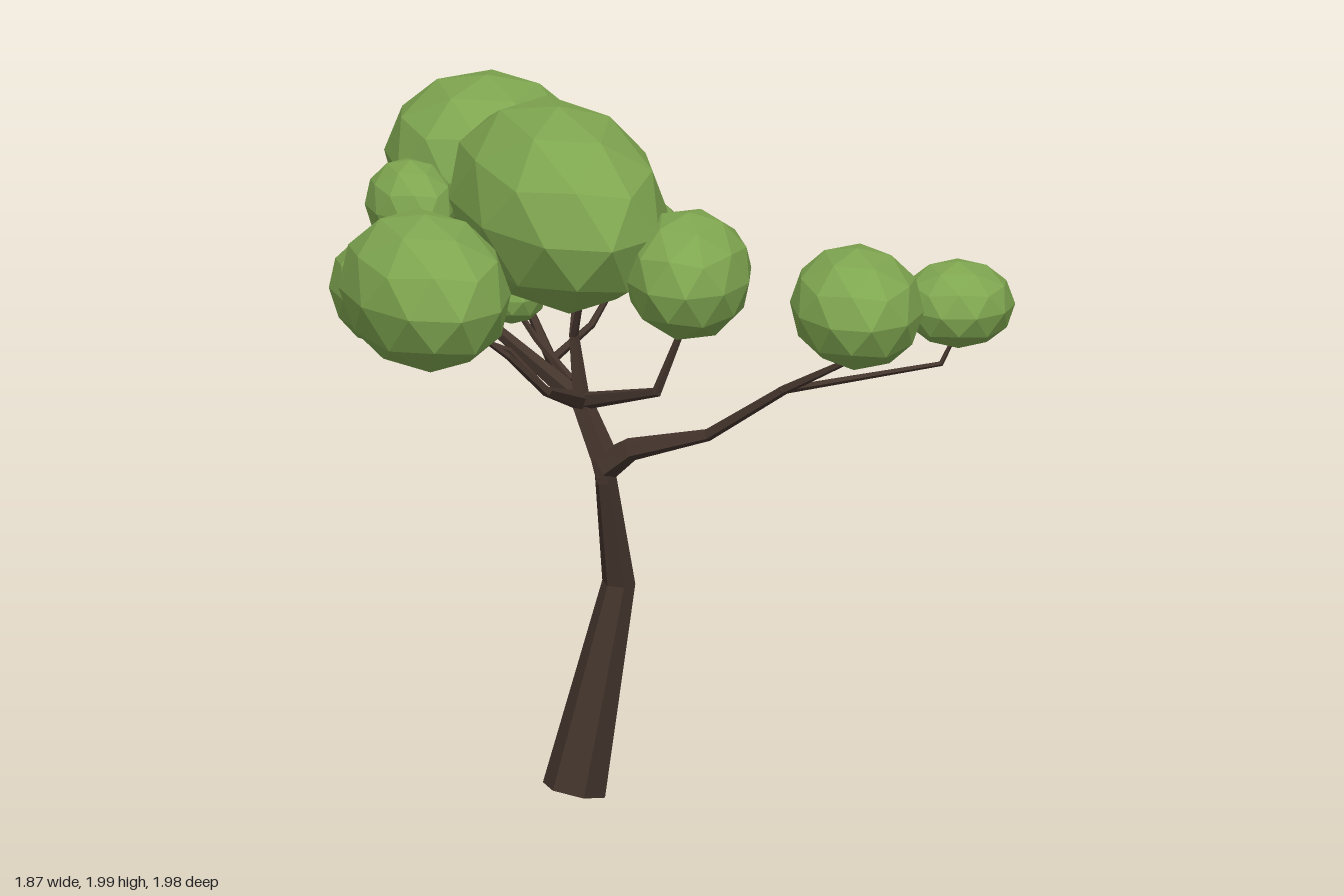
import * as THREE from 'three';

const bark = new THREE.MeshStandardMaterial({ color: 0x43342c, flatShading: true });
bark.name = 'dark bark';
const leaf = new THREE.MeshStandardMaterial({ color: 0x7fa650, flatShading: true });
leaf.name = 'leaf green';

// Tapered faceted limb through points [x, y, z, radius]
function limb(name, points, sides = 5) {
  const centres = points.map(p => new THREE.Vector3(p[0], p[1], p[2]));
  const n = points.length;
  const pos = [];
  const index = [];
  const ref = new THREE.Vector3(0, 0, 1);
  const first = centres[1].clone().sub(centres[0]).normalize();
  if (Math.abs(first.z) > 0.75) ref.set(1, 0, 0);
  let u = ref;
  centres.forEach((c, i) => {
    const t = new THREE.Vector3();
    if (i > 0) t.add(centres[i].clone().sub(centres[i - 1]).normalize());
    if (i < n - 1) t.add(centres[i + 1].clone().sub(centres[i]).normalize());
    t.normalize();
    u = u.clone().addScaledVector(t, -u.dot(t)).normalize();
    const v = t.clone().cross(u);
    for (let k = 0; k < sides; k++) {
      const a = (k / sides) * Math.PI * 2;
      const p = c.clone()
        .addScaledVector(u, Math.cos(a) * points[i][3])
        .addScaledVector(v, Math.sin(a) * points[i][3]);
      pos.push(p.x, p.y, p.z);
    }
  });
  for (let i = 0; i < n - 1; i++) {
    for (let k = 0; k < sides; k++) {
      const a = i * sides + k;
      const b = i * sides + (k + 1) % sides;
      index.push(a, b, b + sides, a, b + sides, a + sides);
    }
  }
  // End caps
  const last = (n - 1) * sides;
  for (let k = 1; k < sides - 1; k++) {
    index.push(0, k + 1, k, last, last + k, last + k + 1);
  }
  const indexed = new THREE.BufferGeometry();
  indexed.setAttribute('position', new THREE.Float32BufferAttribute(pos, 3));
  indexed.setIndex(index);
  const geometry = indexed.toNonIndexed();
  geometry.computeVertexNormals();
  const mesh = new THREE.Mesh(geometry, bark);
  mesh.name = name;
  return mesh;
}

// Faceted ellipsoid of leaves
function foliage(name, centre, radii, turn = 0) {
  const geometry = new THREE.IcosahedronGeometry(1, 1);
  geometry.rotateZ(-0.5536);
  geometry.scale(...radii);
  geometry.rotateY(turn);
  geometry.computeVertexNormals();
  const mesh = new THREE.Mesh(geometry, leaf);
  mesh.position.set(...centre);
  mesh.name = name;
  return mesh;
}

export function createModel() {
  const tree = new THREE.Group();
  tree.name = 'tree';

  // Leaning trunk with a kink
  tree.add(limb('trunk', [
    [-0.21, 0.03, 0.175, 0.09], [-0.078, 0.62, 0.172, 0.047],
    [-0.138, 0.96, 0.235, 0.03],
  ], 6));

  const fork = [-0.185, 1.15, 0.16];
  const limbs = {
    upperTrunk: [[-0.138, 0.93, 0.237, 0.028], [-0.14, 1.0, 0.225, 0.042], [...fork, 0.032]],

    // Long limb to the front left, splitting in two
    frontLeftLimb: [[-0.14, 0.98, 0.235, 0.045], [-0.08, 1.035, 0.28, 0.034],
      [0.11, 1.09, 0.39, 0.018], [0.28, 1.25, 0.55, 0.014], [0.44, 1.38, 0.72, 0.008]],
    farLeftBranch: [[0.27, 1.25, 0.55, 0.012], [0.74, 1.285, 0.55, 0.008], [0.78, 1.37, 0.56, 0.006]],

    // Rear limb and its side twigs
    rearLimb: [[...fork, 0.03], [-0.17, 1.18, -0.15, 0.017], [-0.16, 1.26, -0.38, 0.013],
      [-0.15, 1.37, -0.55, 0.01], [-0.16, 1.45, -0.6, 0.007]],
    rearTwig: [[-0.15, 1.37, -0.54, 0.008], [-0.19, 1.345, -0.61, 0.008], [-0.2, 1.42, -0.68, 0.006]],
    rearLeftBranch: [[-0.17, 1.18, -0.15, 0.014], [-0.04, 1.26, -0.19, 0.011], [0.07, 1.39, -0.25, 0.007]],

    // Limbs rising to the centre and front
    centreLimb: [[...fork, 0.026], [-0.2, 1.34, 0.14, 0.015], [-0.17, 1.48, 0.08, 0.009]],
    centreTwig: [[-0.2, 1.33, 0.14, 0.012], [-0.2, 1.47, 0.21, 0.008]],
    frontLimb: [[...fork, 0.026], [-0.06, 1.25, 0.46, 0.015], [0.01, 1.47, 0.51, 0.009]],

    // Limbs on the right side
    frontRightLimb: [[...fork, 0.028], [-0.38, 1.28, 0.46, 0.015], [-0.5, 1.4, 0.48, 0.01],
      [-0.6, 1.48, 0.45, 0.008]],
    frontRightTwig: [[-0.38, 1.28, 0.46, 0.011], [-0.48, 1.4, 0.43, 0.009], [-0.6, 1.45, 0.4, 0.007]],
    rightLimb: [[...fork, 0.03], [-0.38, 1.33, -0.04, 0.017], [-0.46, 1.42, -0.1, 0.011],
      [-0.6, 1.43, -0.1, 0.007]],
    rightTwig: [[-0.38, 1.33, -0.04, 0.011], [-0.62, 1.34, -0.1, 0.008]],
    rearRightTwig: [[-0.43, 1.39, -0.08, 0.01], [-0.49, 1.45, -0.18, 0.009], [-0.52, 1.53, -0.32, 0.006]],
    outerTwig: [[-0.6, 1.4, -0.15, 0.008], [-0.7, 1.41, -0.27, 0.006], [-0.77, 1.39, -0.27, 0.004]],
    innerTwig: [[-0.2, 1.2, 0.12, 0.014], [-0.27, 1.3, 0.02, 0.01], [-0.32, 1.39, -0.04, 0.007]],
  };
  for (const [name, points] of Object.entries(limbs)) tree.add(limb(name, points));

  // Leaf clumps
  tree.add(
    foliage('centreFoliage', [-0.24, 1.715, 0.125], [0.285, 0.285, 0.49]),
    foliage('rearFoliage', [-0.19, 1.63, -0.675], [0.285, 0.23, 0.32], -0.12),
    foliage('frontRightFoliage', [-0.72, 1.59, 0.405], [0.23, 0.22, 0.335]),
    foliage('frontFoliage', [0.015, 1.6, 0.515], [0.18, 0.18, 0.25], -0.35),
    foliage('frontLeftFoliage', [0.435, 1.53, 0.735], [0.185, 0.17, 0.255], -0.15),
    foliage('farLeftFoliage', [0.785, 1.46, 0.565], [0.158, 0.122, 0.168]),
    foliage('rearLeftFoliage', [0.08, 1.475, -0.26], [0.168, 0.14, 0.212], 0.15),
    foliage('rightFoliage', [-0.675, 1.445, -0.1], [0.148, 0.155, 0.21]),
    foliage('rearRightFoliage', [-0.52, 1.605, -0.345], [0.122, 0.132, 0.168]),
    foliage('innerFoliage', [-0.325, 1.425, -0.04], [0.1, 0.09, 0.115]),
  );
  return tree;
}
